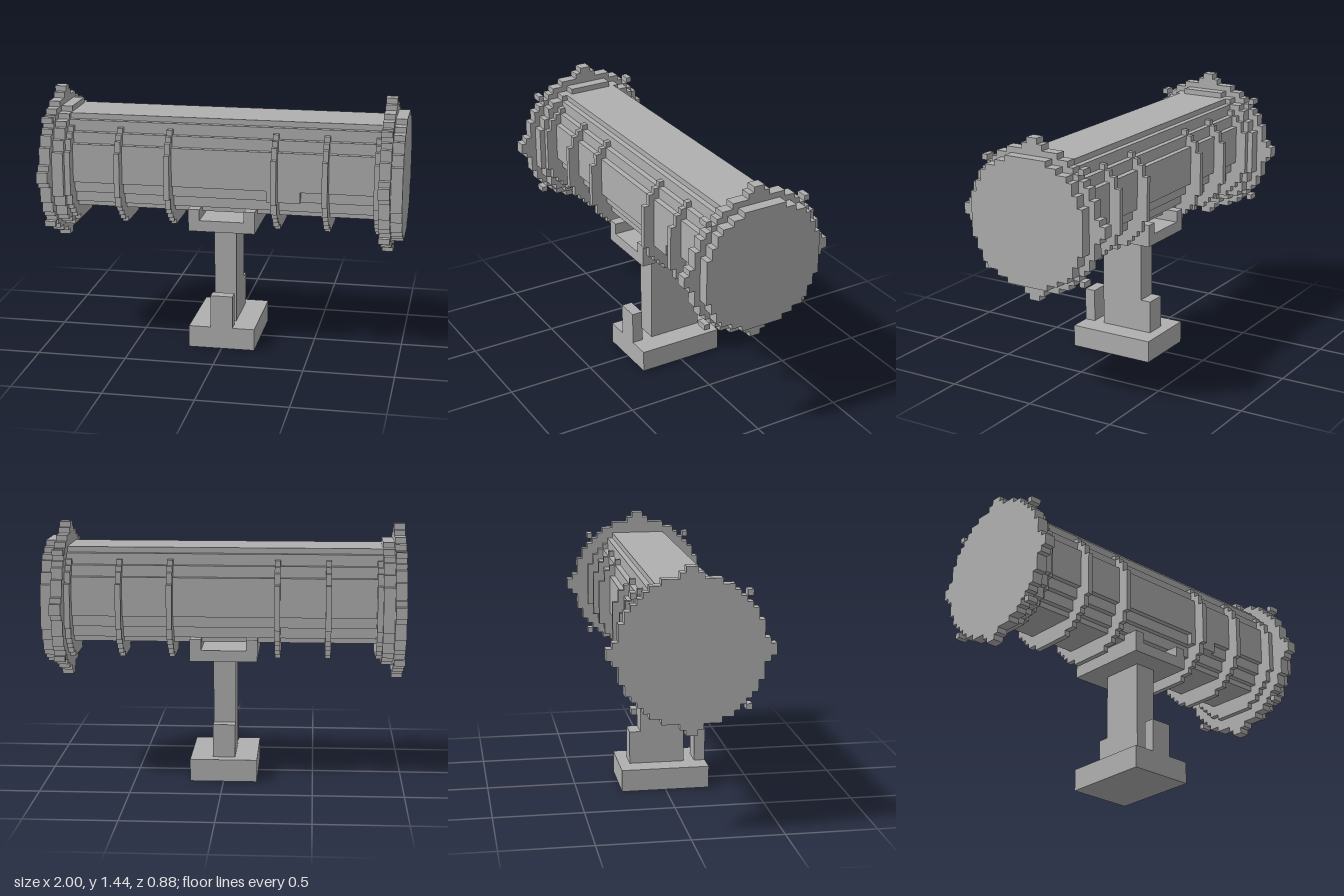
import * as THREE from 'three';

const U = 1 / 32;   // size of one block
const AXIS = 32;    // height of the barrel axis, in blocks

export function createModel() {
  const group = new THREE.Group();
  const grey = new THREE.MeshStandardMaterial({ color: 0xb0b0b0 });
  grey.name = 'plain grey';

  function add(name, geometry) {
    const mesh = new THREE.Mesh(geometry, grey);
    mesh.name = name;
    group.add(mesh);
  }

  // Box given by its limits in blocks
  function box(name, x0, x1, y0, y1, z0, z1) {
    const g = new THREE.BoxGeometry((x1 - x0) * U, (y1 - y0) * U, (z1 - z0) * U);
    g.translate((x0 + x1) / 2 * U, (y0 + y1) / 2 * U, (z0 + z1) / 2 * U);
    add(name, g);
  }

  // Stepped prism along x; bands run upwards as [bottom, top, half width]
  function prism(name, bands, x0, x1) {
    const right = [];
    for (const [bottom, top, w] of bands) {
      right.push([w, bottom], [w, top]);
    }
    const outline = [...right, ...right.slice().reverse().map(([w, y]) => [-w, y])];
    const shape = new THREE.Shape(outline.map(([w, y]) => new THREE.Vector2(w * U, (y + AXIS) * U)));
    const g = new THREE.ExtrudeGeometry(shape, { depth: (x1 - x0) * U, bevelEnabled: false });
    g.rotateY(Math.PI / 2);
    g.translate(x0 * U, 0, 0);
    add(name, g);
  }

  // Round stepped section from the half widths of its upper rows, merging equal rows
  function roundBands(rows) {
    const bands = [];
    for (let k = -rows.length; k < rows.length; k++) {
      const w = rows[k < 0 ? -k - 1 : k];
      const last = bands[bands.length - 1];
      if (last && last[2] === w) last[1] = k + 1;
      else bands.push([k, k + 1, w]);
    }
    return bands;
  }

  const flange = roundBands([14, 13, 12, 12, 12, 11, 11, 10, 9, 8, 7, 5, 2, 1]);
  const disc = roundBands([11, 11, 11, 11, 10, 10, 9, 9, 8, 6, 4]);
  const ring = roundBands([10, 10, 10, 10, 9, 9, 8, 7, 6, 4]);

  // Barrel, set slightly above the ring axis
  prism('barrel', [
    [-7, -6, 5], [-6, -4, 6], [-4, -2, 7], [-2, 5, 8], [5, 7, 7], [7, 9, 6], [9, 10, 5],
  ], -30, 30);
  box('sidePlate', 8, 14, 28, 30, 6, 8);

  // Bands around the barrel
  for (const x of [-28, -19, -10, 9, 18, 27]) prism('band', ring, x, x + 1);

  // Toothed flanges and the plain discs beside them
  for (const x of [-32, 28]) {
    prism('flange', flange, x, x + 2);
    prism('endDisc', disc, x + 2, x + 4);
    for (const y of [-10, 9]) {
      for (const z of [-10, 9]) box('flangeTooth', x, x + 2, AXIS + y, AXIS + y + 1, z, z + 1);
    }
  }

  // Cradle
  box('cradleFloor', -6, 6, 22, 24, -8, 8);
  for (const x of [-6, 4]) box('cradleArm', x, x + 2, 24, 26, -8, 8);

  // Stand
  box('base', -6, 6, 0, 4, -8, 8);
  box('post', -2, 2, 4, 22, -4, 4);
  box('rearBrace', -2, 2, 4, 10, -6, -4);
  box('frontPeg', -2, 2, 4, 10, 6, 8);

  return group;
}
